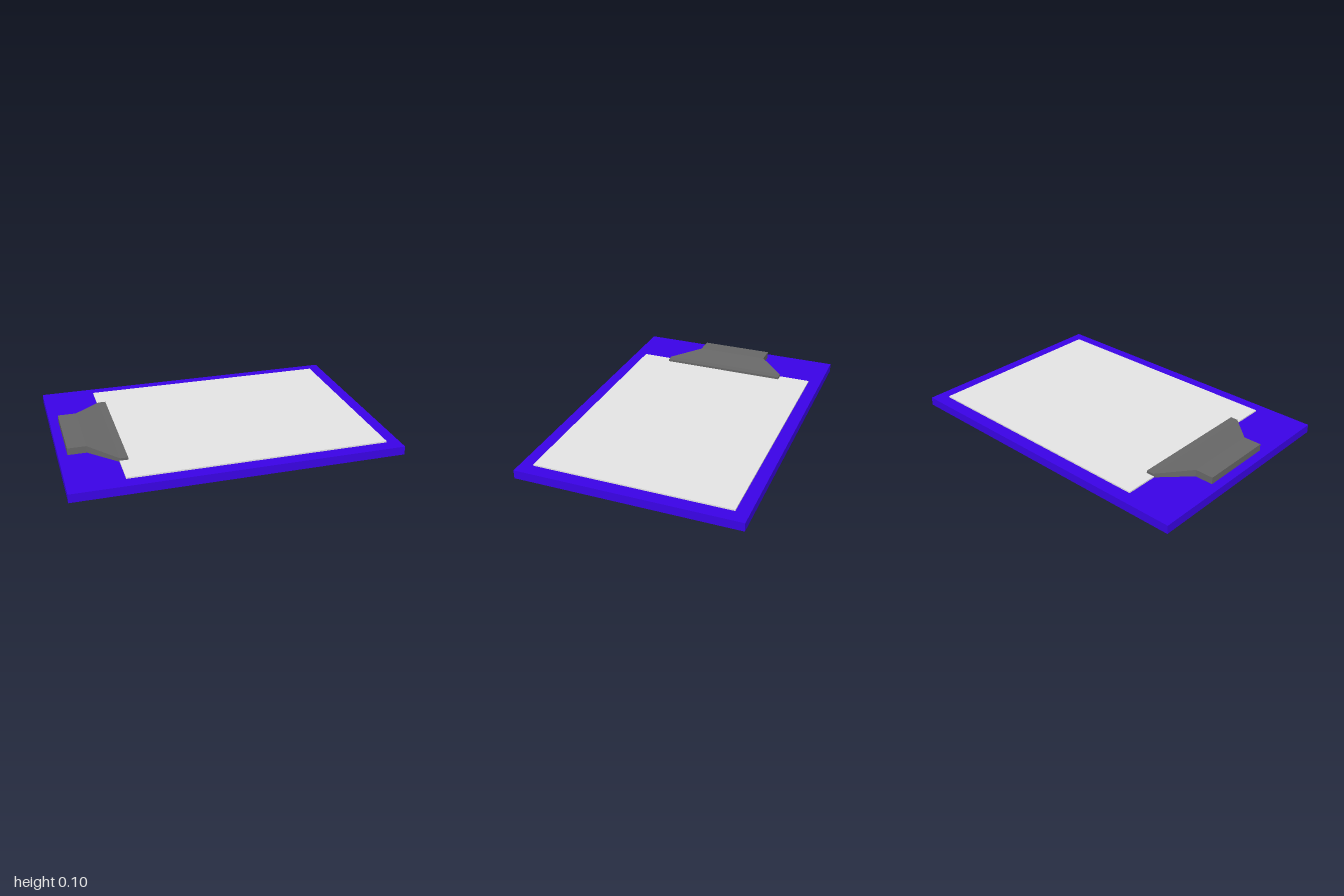
import * as THREE from 'three';

const blue = new THREE.MeshStandardMaterial({ name: 'blue board', color: 0x3b02ea });
const paper = new THREE.MeshStandardMaterial({ name: 'pale paper', color: 0xe5e5e5 });
const grey = new THREE.MeshStandardMaterial({ name: 'dark grey clip', color: 0x686868 });

const BOARD_TOP = 0.053;
const PAPER_TOP = 0.062;

// Box given by its minimum and maximum corners
function slab(name, material, [x0, y0, z0], [x1, y1, z1]) {
  const mesh = new THREE.Mesh(new THREE.BoxGeometry(x1 - x0, y1 - y0, z1 - z0), material);
  mesh.position.set((x0 + x1) / 2, (y0 + y1) / 2, (z0 + z1) / 2);
  mesh.name = name;
  return mesh;
}

// Rectangular sections [x, half width, bottom, top] joined along x, with flat faces
function loft(sections) {
  const rings = sections.map(([x, w, b, t]) => [[x, t, w], [x, t, -w], [x, b, -w], [x, b, w]]);
  const pos = [];
  const quad = (a, b, c, d) => [a, b, c, a, c, d].forEach(p => pos.push(...p));
  for (let i = 0; i < rings.length - 1; i++) {
    for (let j = 0; j < 4; j++) {
      const k = (j + 1) % 4;
      quad(rings[i][j], rings[i + 1][j], rings[i + 1][k], rings[i][k]);
    }
  }
  const end = rings[rings.length - 1];
  quad(...rings[0]);
  quad(end[3], end[2], end[1], end[0]);
  const geometry = new THREE.BufferGeometry();
  geometry.setAttribute('position', new THREE.Float32BufferAttribute(pos, 3));
  geometry.computeVertexNormals();
  return geometry;
}

export function createModel() {
  const group = new THREE.Group();
  group.name = 'clipboard';

  group.add(slab('board', blue, [-1, 0, -0.684], [1, BOARD_TOP, 0.684]));
  group.add(slab('paperSheet', paper, [-0.668, BOARD_TOP, -0.604], [0.918, PAPER_TOP, 0.604]));

  // Clip: raised grip, flaring slope, thin lip over the paper
  const clip = new THREE.Mesh(loft([
    [-0.945, 0.234, BOARD_TOP, 0.096],
    [-0.832, 0.234, BOARD_TOP, 0.096],
    [-0.664, 0.403, BOARD_TOP, 0.077],
    [-0.617, 0.403, BOARD_TOP + 0.005, 0.077],
  ]), grey);
  clip.name = 'clip';
  group.add(clip);

  return group;
}
